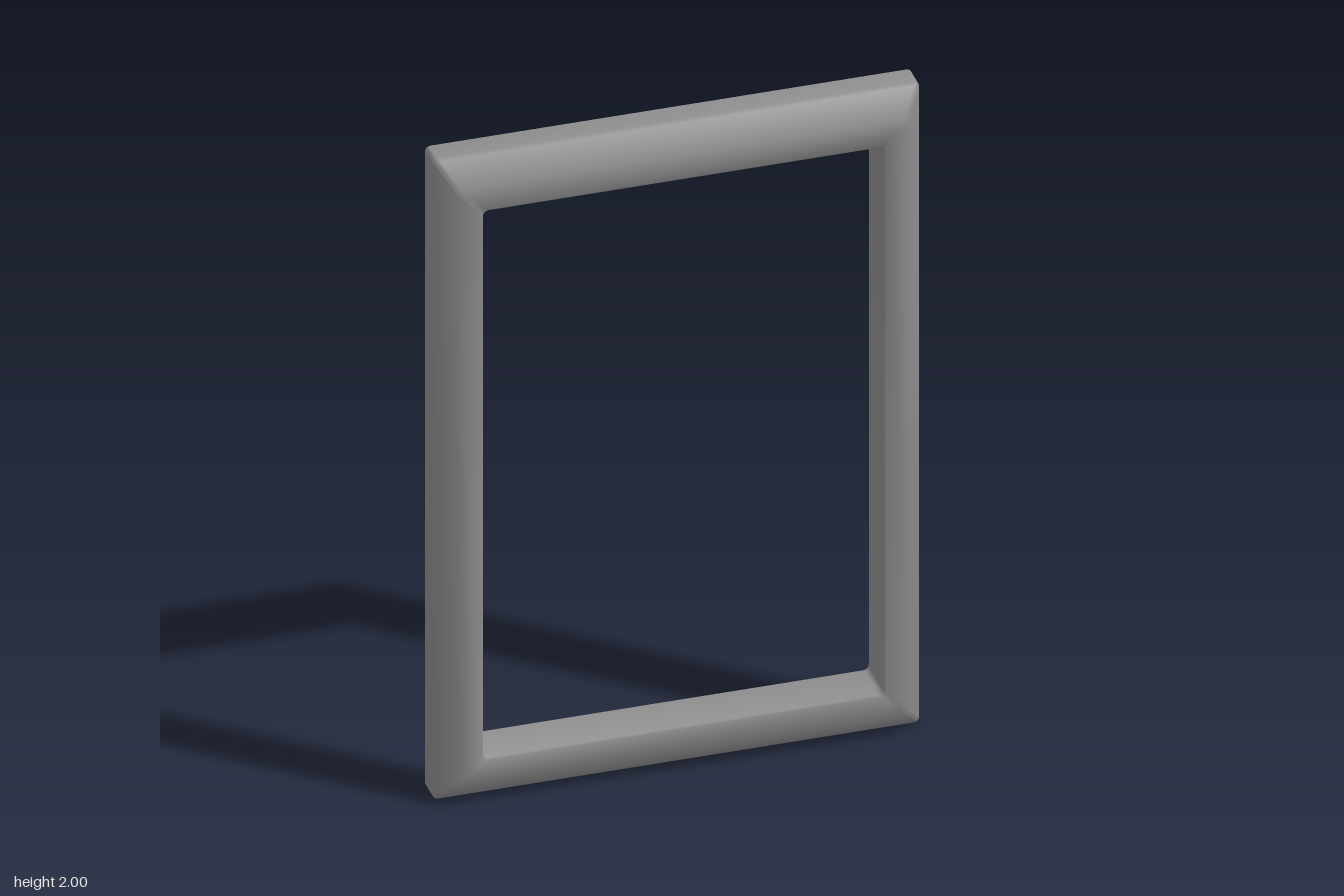
import * as THREE from 'three';
import { toCreasedNormals } from 'three/addons/utils/BufferGeometryUtils.js';

const HALF_W = 0.685, HALF_H = 1, CORNER_STEPS = 4;

// Moulding section, outer back edge -> front -> inner back edge:
// [inset in x, inset in y, z, corner radius]
const SECTION = [
  [0, 0, -0.071, 0.014],
  [0, 0, -0.002, 0.014],
  [0.005, 0.006, 0.008, 0.014],
  [0.05, 0.07, 0.071, 0.015],
  [0.116, 0.141, 0.071, 0.016],
  [0.12, 0.145, 0.067, 0.016],
  [0.12, 0.145, -0.071, 0.016],
];

// One rounded-rectangle loop, counter-clockwise seen from the front
function loopPoints([insetX, insetY, z, r]) {
  const points = [];
  const cx = HALF_W - insetX - r, cy = HALF_H - insetY - r;
  [[1, 1], [-1, 1], [-1, -1], [1, -1]].forEach(([sx, sy], corner) => {
    for (let k = 0; k <= CORNER_STEPS; k++) {
      const a = (corner + k / CORNER_STEPS) * Math.PI / 2;
      points.push(sx * cx + r * Math.cos(a), HALF_H + sy * cy + r * Math.sin(a), z);
    }
  });
  return points;
}

// Skin the loops into an open-backed hollow shell
function mouldingGeometry() {
  const n = 4 * (CORNER_STEPS + 1);
  const index = [];
  for (let i = 0; i < SECTION.length - 1; i++) {
    for (let j = 0; j < n; j++) {
      const a = i * n + j, b = i * n + (j + 1) % n;
      index.push(a, b, b + n, a, b + n, a + n);
    }
  }
  const geometry = new THREE.BufferGeometry();
  geometry.setAttribute('position', new THREE.Float32BufferAttribute(SECTION.flatMap(loopPoints), 3));
  geometry.setIndex(index);
  return toCreasedNormals(geometry, 1.0);
}

export function createModel() {
  const group = new THREE.Group();
  group.name = 'pictureFrame';
  const material = new THREE.MeshStandardMaterial({ color: 0x8c8c8c, side: THREE.DoubleSide });
  const moulding = new THREE.Mesh(mouldingGeometry(), material);
  moulding.name = 'frameMoulding';
  group.add(moulding);
  return group;
}
